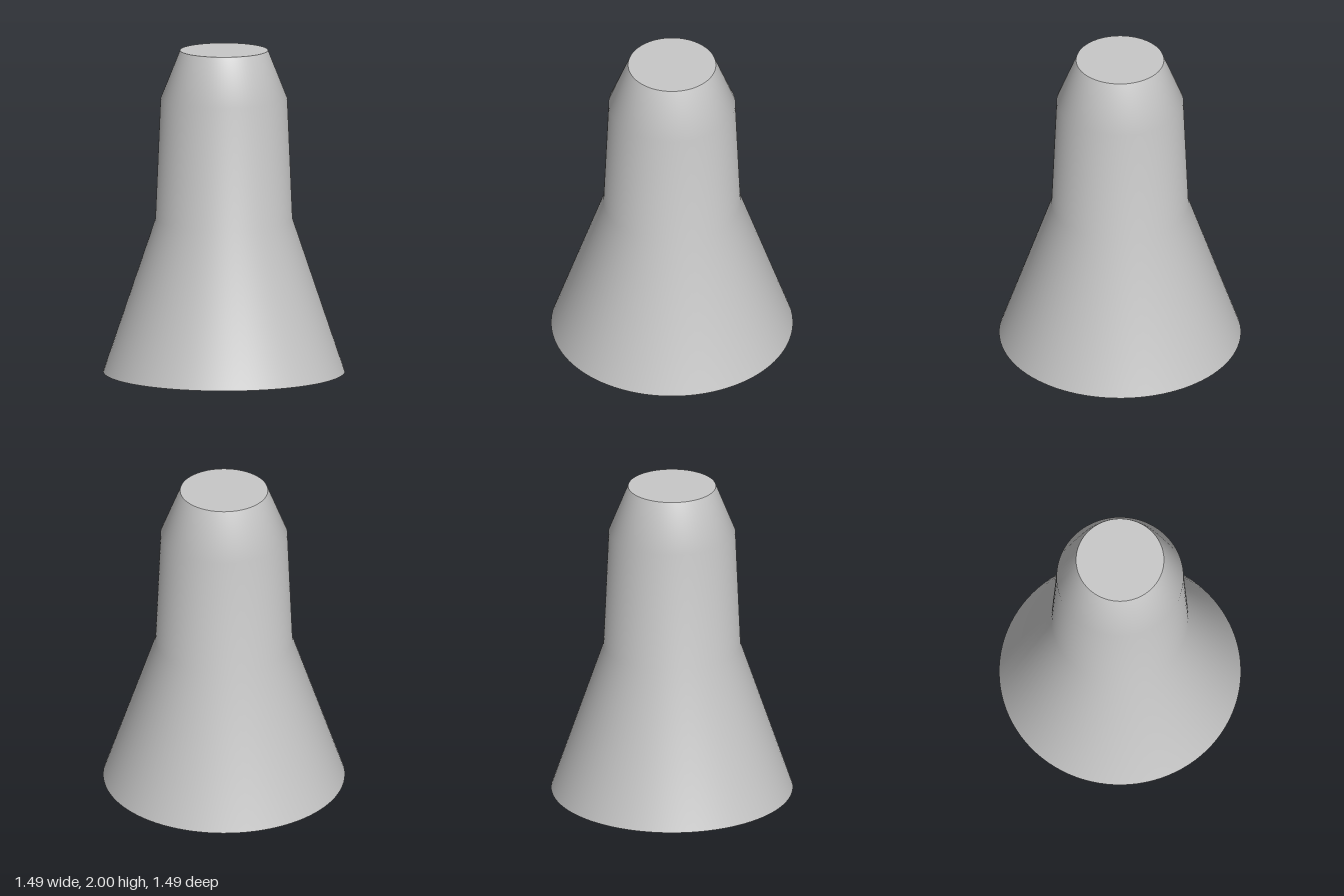
import * as THREE from 'three';

const SIDES = 96;

export function createModel() {
  const model = new THREE.Group();
  model.name = 'taperedBody';
  const grey = new THREE.MeshStandardMaterial({ color: 0xc8c8c8 });
  grey.name = 'grey';

  const add = (name, geometry, y = 0) => {
    const mesh = new THREE.Mesh(geometry, grey);
    mesh.name = name;
    mesh.position.y = y;
    model.add(mesh);
    return mesh;
  };

  // Flared skirt, nearly straight neck and tapered shoulder, smoothly shaded
  const profile = [[0.743, 0], [0.422, 0.95], [0.39, 1.7], [0.27, 2]]
    .map(([r, y]) => new THREE.Vector2(r, y));
  add('sideWall', new THREE.LatheGeometry(profile, SIDES));

  // Flat end discs
  add('topCap', new THREE.CircleGeometry(0.27, SIDES).rotateX(-Math.PI / 2), 2);
  add('baseCap', new THREE.CircleGeometry(0.743, SIDES).rotateX(Math.PI / 2));

  return model;
}
